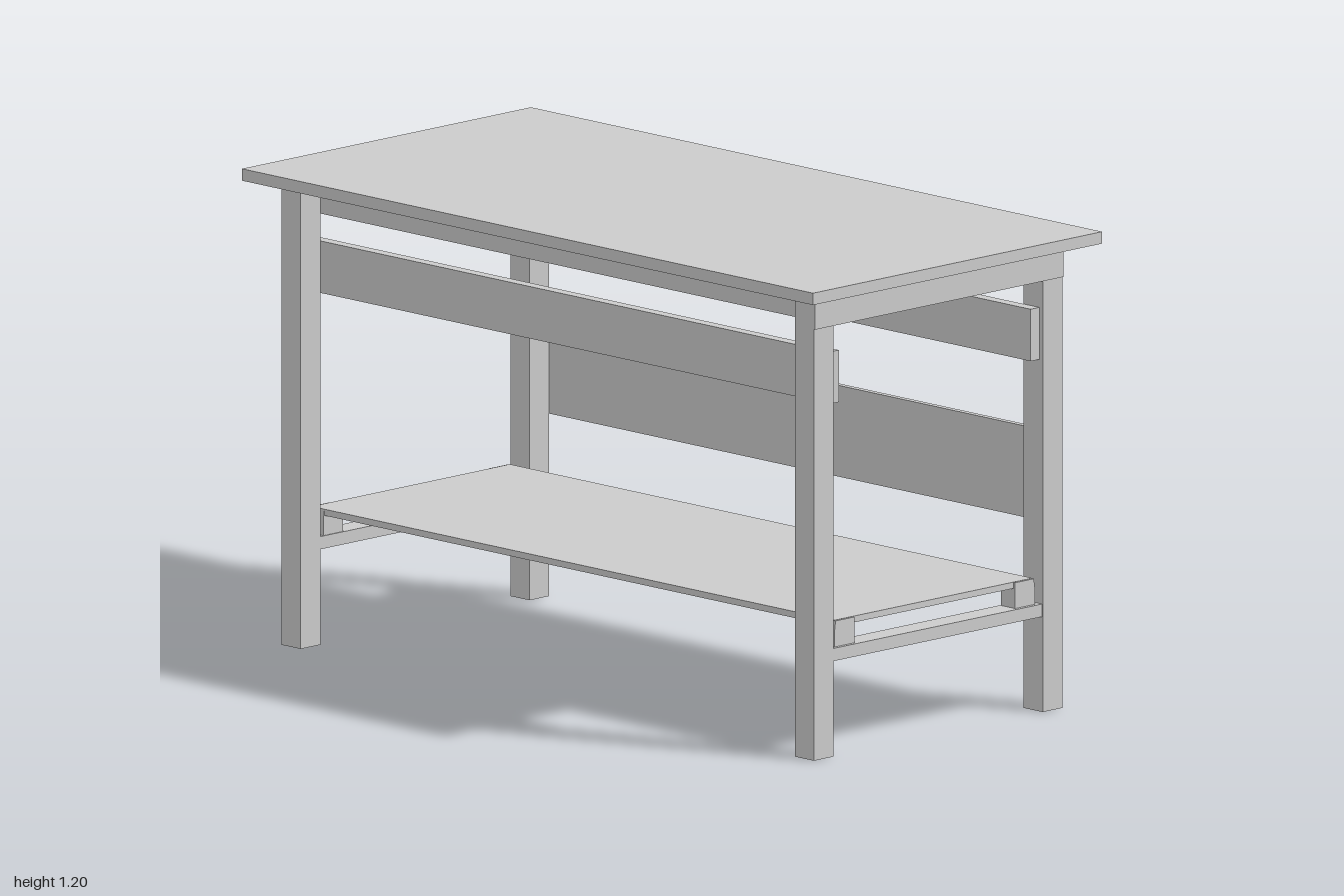
import * as THREE from 'three';

export function createModel() {
  const table = new THREE.Group();
  table.name = 'workTable';
  const material = new THREE.MeshStandardMaterial({ color: 0xcccccc, flatShading: true });

  // Box given by its extents along each axis
  function board(name, [x0, x1], [y0, y1], [z0, z1]) {
    const mesh = new THREE.Mesh(new THREE.BoxGeometry(x1 - x0, y1 - y0, z1 - z0), material);
    mesh.position.set((x0 + x1) / 2, (y0 + y1) / 2, (z0 + z1) / 2);
    mesh.name = name;
    table.add(mesh);
    return mesh;
  }
  // Extents mirrored to the negative side when s is -1
  const side = (s, a, b) => (s > 0 ? [a, b] : [-b, -a]);

  board('tableTop', [-0.5, 0.5], [1.17, 1.2], [-1, 1]);
  board('lowerShelf', [-0.343, 0.343], [0.322, 0.338], [-0.915, 0.915]);
  board('sidePanel', [0.43, 0.446], [0.46, 0.69], [-0.914, 0.914]);

  // Shelf block with a slightly sloped outer side
  const blockShape = new THREE.Shape([
    new THREE.Vector2(0.278, 0.272), new THREE.Vector2(0.347, 0.272),
    new THREE.Vector2(0.347, 0.31), new THREE.Vector2(0.343, 0.337),
    new THREE.Vector2(0.278, 0.337),
  ]);
  const blockGeometry = new THREE.ExtrudeGeometry(blockShape, { depth: 0.05, bevelEnabled: false });
  blockGeometry.translate(-0.3125, 0, -0.025);

  for (const sx of [1, -1]) {
    const label = sx > 0 ? 'left' : 'right';
    // Long rails along each side
    board(label + 'Apron', side(sx, 0.33, 0.362), [1.087, 1.17], [-0.9, 0.9]);
    board(label + 'SideRail', side(sx, 0.332, 0.362), [0.887, 1.018], [-0.92, 0.92]);

    for (const sz of [1, -1]) {
      const end = sz > 0 ? 'Front' : 'Back';
      board(label + end + 'Leg', side(sx, 0.362, 0.43), [0, 1.17], side(sz, 0.865, 0.932));
      const block = new THREE.Mesh(blockGeometry, material);
      block.name = label + end + 'ShelfBlock';
      block.position.set(sx * 0.3125, 0, sz * 0.895);
      if (sx < 0) block.rotation.y = Math.PI;
      table.add(block);
    }
  }

  // Cross members at both ends
  for (const sz of [1, -1]) {
    const end = sz > 0 ? 'front' : 'back';
    board(end + 'Apron', [-0.43, 0.43], [1.087, 1.17], side(sz, 0.9, sz > 0 ? 0.936 : 0.933));
    board(end + 'Stretcher', [-0.362, 0.362], [0.24, 0.272], side(sz, 0.867, 0.93));
  }
  return table;
}
